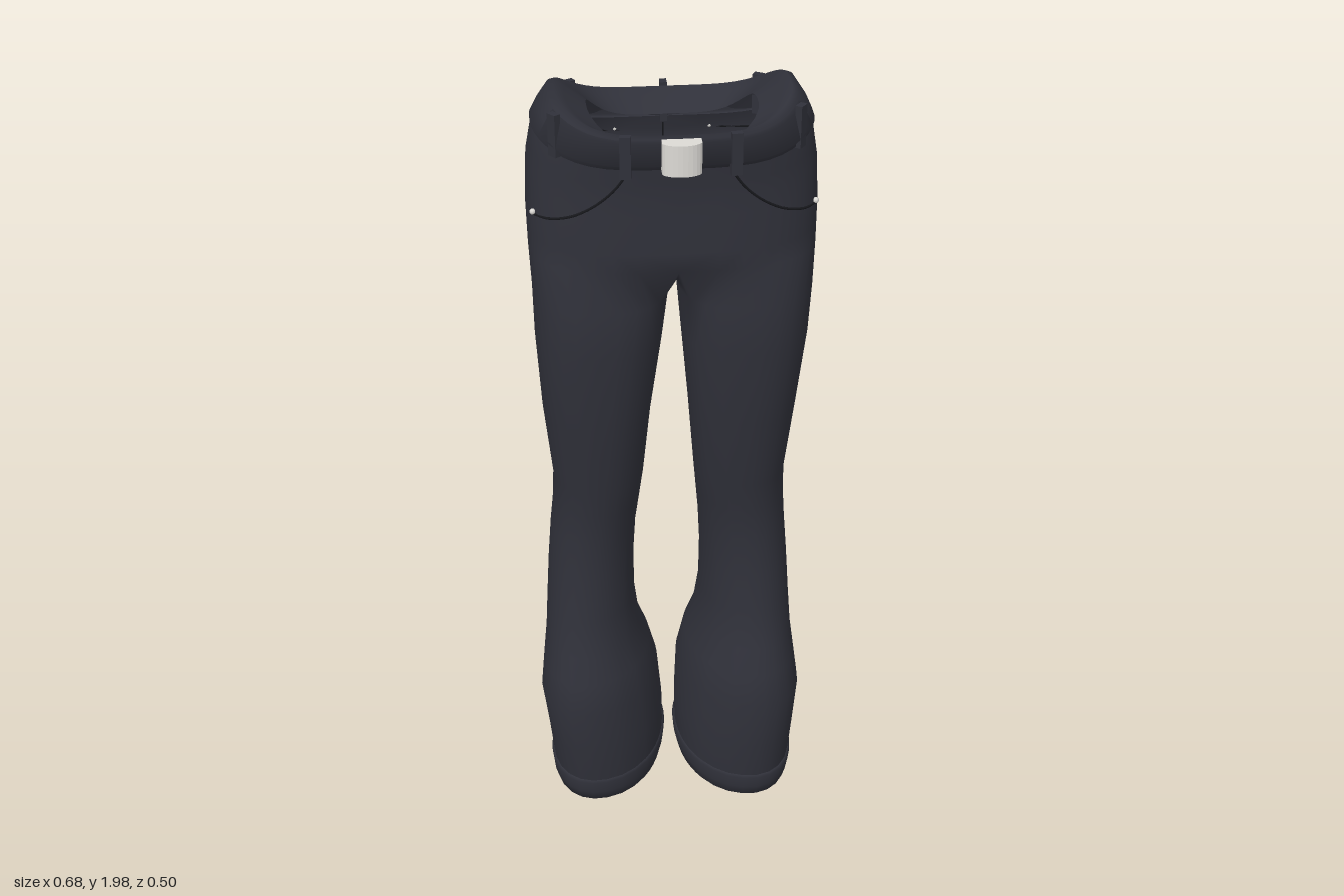
import * as THREE from 'three';
import { mergeGeometries, mergeVertices } from 'three/addons/utils/BufferGeometryUtils.js';

const OUTER = 20, INNER = 10; // points round the outside and the inseam of each leg

// y, half width, front z, back z
const TORSO = [
  [1.92, 0.275, 0.195, -0.195], [1.85, 0.308, 0.185, -0.222], [1.78, 0.324, 0.178, -0.235],
  [1.70, 0.329, 0.18, -0.222], [1.62, 0.327, 0.18, -0.192],
];
// y, inner x, outer x, front z, back z, toe-out
const LEG = [
  [1.52, 0.010, 0.322, 0.180, -0.163, 0], [1.40, 0.020, 0.315, 0.173, -0.137, 0],
  [1.20, 0.038, 0.295, 0.155, -0.125, 0], [1.00, 0.055, 0.276, 0.115, -0.116, 0.05],
  [0.92, 0.063, 0.279, 0.107, -0.143, 0.08], [0.83, 0.072, 0.287, 0.092, -0.170, 0.1],
  [0.72, 0.078, 0.296, 0.100, -0.184, 0.12], [0.60, 0.077, 0.304, 0.106, -0.187, 0.15],
  [0.50, 0.065, 0.311, 0.127, -0.205, 0.2], [0.43, 0.040, 0.320, 0.150, -0.220, 0.22],
  [0.34, 0.021, 0.332, 0.166, -0.230, 0.25], [0.20, 0.015, 0.322, 0.157, -0.210, 0.25],
  [0.09, 0.016, 0.314, 0.146, -0.197, 0.25], [0.03, 0.026, 0.304, 0.136, -0.197, 0.25],
];

const { clamp, lerp, smoothstep } = THREE.MathUtils;
const power = (v, e) => Math.sign(v) * Math.abs(v) ** e;

function sample(table, y) {
  let i = 0;
  while (i < table.length - 2 && y < table[i + 1][0]) i++;
  const a = table[i], b = table[i + 1], f = clamp((y - a[0]) / (b[0] - a[0]), 0, 1);
  return a.map((v, k) => lerp(v, b[k], f));
}

// Squarish oval whose edge rises at the hips and falls at the back
function hipPoint(t, y, hx, zf, zb, lobes = 1) {
  const s = Math.max(0, Math.sin(Math.abs(t))), c = Math.cos(t);
  const x = Math.sign(t || 1) * hx * s ** 0.7;
  let z = (zf + zb) / 2 + (zf - zb) / 2 * power(c, 0.7);
  if (c < 0) z -= lobes * (0.016 * Math.exp(-(((Math.abs(x) - 0.13) / 0.07) ** 2)) - 0.006 * Math.exp(-((x / 0.03) ** 2)));
  const w = clamp((y - 1.62) / 0.23, 0, 1);
  return new THREE.Vector3(x, y + w * (0.065 * s ** 3 + 0.025 * c), z);
}

function torsoPoint(t, y, out = 0) {
  const [, hx, zf, zb] = sample(TORSO, y);
  return hipPoint(t, y, hx + out, zf + out, zb - out, smoothstep(y, 1.55, 1.65) * (1 - smoothstep(y, 1.82, 1.92)));
}

// Point on the hip surface found from its x
function onHip(x, y, back, out) {
  const hx = sample(TORSO, y)[1];
  let t = Math.asin(clamp(Math.abs(x) / hx, 0, 1) ** (1 / 0.7));
  if (back) t = Math.PI - t;
  return torsoPoint(x < 0 ? -t : t, y, out);
}

function legRing(y, out = 0) {
  const [, xi, xo, zf, zb, toe] = sample(LEG, y);
  const e = lerp(0.95, 0.8, smoothstep(y, 0.9, 1.5)), a = 0.9, ring = [];
  for (let i = 0; i < OUTER + INNER; i++) {
    const t = i <= OUTER ? lerp(-a, Math.PI + a, i / OUTER)
      : lerp(Math.PI + a, 2 * Math.PI - a, (i - OUTER) / INNER);
    const z = (zf + zb) / 2 + ((zf - zb) / 2 + out) * power(Math.cos(t), e);
    const x = (xi + xo) / 2 + ((xo - xi) / 2 + out) * power(Math.sin(t + toe), e);
    const hem = 1 - smoothstep(y, 0.08, 0.3);
    ring.push(new THREE.Vector3(x, y + hem * (0.012 - 0.17 * z), z));
  }
  return ring;
}

// Skin between rings listed from top to bottom
function loft(rings, closed, flip = false) {
  const n = rings[0].length, index = [];
  for (let r = 0; r < rings.length - 1; r++) {
    for (let i = 0; i < (closed ? n : n - 1); i++) {
      const a = r * n + i, b = r * n + (i + 1) % n, c = a + n, d = b + n;
      index.push(...(flip ? [a, b, c, b, d, c] : [a, c, b, b, c, d]));
    }
  }
  const g = new THREE.BufferGeometry().setFromPoints(rings.flat());
  g.setIndex(index);
  g.computeVertexNormals();
  return g;
}

// The other side: mirrored, standing a touch wider and shorter
function mirrorRings(rings) {
  return rings.map(ring => ring.map(p => {
    const below = 1 - smoothstep(p.y, 1.2, 1.55), foot = 1 - smoothstep(p.y, 0.1, 0.5);
    return new THREE.Vector3(-p.x - below * lerp(0.015, 0.004, foot), p.y + 0.017 * foot, p.z);
  }));
}

function hipRing(y, hx, zf, zb) {
  return Array.from({ length: 48 }, (_, i) => hipPoint(i < 24 ? i / 24 * Math.PI : (i - 48) / 24 * Math.PI, y, hx, zf, zb, 0));
}

export function createModel() {
  const model = new THREE.Group();
  const mat = (name, color, side = THREE.FrontSide) => {
    const m = new THREE.MeshStandardMaterial({ color, side });
    m.name = name;
    return m;
  };
  const denim = mat('charcoal denim', 0x30313a, THREE.DoubleSide);
  const leather = mat('dark belt', 0x2a2b33, THREE.DoubleSide);
  const thread = mat('black seam', 0x18191d);
  const metal = mat('pale metal', 0xdcdad5);
  const add = (name, geometry, material) => {
    const m = new THREE.Mesh(geometry, material);
    m.name = name;
    model.add(m);
    return m;
  };

  // Trouser body: hips open at the top, joined to two open legs
  const hipRings = [1.9, 1.85, 1.81, 1.78, 1.74, 1.7, 1.66, 1.62].map(y =>
    Array.from({ length: OUTER + 1 }, (_, i) => torsoPoint(i / OUTER * Math.PI, y)));
  const crotch = hipRings.at(-1).map(p => p.clone());
  const front = crotch[0], back = crotch[OUTER];
  for (let j = 1; j < INNER; j++) {
    const p = back.clone().lerp(front, j / INNER);
    p.x = 0;
    p.y -= 0.065 * Math.sin(j / INNER * Math.PI) ** 0.6;
    crotch.push(p);
  }
  const legRings = [crotch, ...LEG.map(row => legRing(row[0]))];
  const body = mergeVertices(mergeGeometries([
    loft(hipRings, false), loft(legRings, true),
    loft(mirrorRings(hipRings), false, true), loft(mirrorRings(legRings), true, true),
  ].map(g => g.deleteAttribute('normal'))), 1e-4);
  body.computeVertexNormals();
  add('trousers', body, denim);

  // Turned hems
  const hem = [legRing(0.1), legRing(0.095, 0.006), legRing(0.06, 0.008), legRing(0.03, 0.006), legRing(0.03, -0.006), legRing(0.06, -0.01)];
  add('leftHem', loft(hem, true), denim);
  add('rightHem', loft(mirrorRings(hem), true, true), denim);

  // Waistband with its inner facing
  add('waistband', loft([
    hipRing(1.885, 0.188, 0.152, -0.14), hipRing(1.915, 0.235, 0.19, -0.18), hipRing(1.93, 0.258, 0.205, -0.196),
    hipRing(1.925, 0.272, 0.213, -0.206), hipRing(1.89, 0.295, 0.214, -0.215),
    hipRing(1.852, 0.312, 0.204, -0.23), hipRing(1.848, 0.303, 0.18, -0.218),
  ], true), denim);

  // Belt across the front
  const beltRing = (y, hx, zf) => Array.from({ length: 25 }, (_, i) => hipPoint(lerp(-1.2, 1.2, i / 24), y, hx, zf, -0.215, 0));
  add('belt', loft([beltRing(1.922, 0.272, 0.21), beltRing(1.918, 0.282, 0.222), beltRing(1.865, 0.31, 0.218), beltRing(1.858, 0.306, 0.2)], false), leather);

  // Belt loops
  const loopAngles = [0.27, 1.0, 2.45];
  for (const t of [...loopAngles, ...loopAngles.map(a => -a), Math.PI]) {
    const p = hipPoint(t, 1.887, 0.297, 0.218, -0.217, 0), q = hipPoint(t + 0.02, 1.887, 0.297, 0.218, -0.217, 0);
    const loop = add('beltLoop', new THREE.BoxGeometry(0.024, 0.095, 0.016), denim);
    loop.position.copy(p);
    loop.rotation.y = Math.atan2(p.z - q.z, q.x - p.x);
  }

  // Buckle with a bowed face
  const bow = new THREE.Shape();
  bow.moveTo(-0.042, 0.03);
  bow.lineTo(-0.042, 0);
  bow.bezierCurveTo(-0.03, -0.024, 0.03, -0.024, 0.042, 0);
  bow.lineTo(0.042, 0.03);
  const buckle = add('buckle', new THREE.ExtrudeGeometry(bow, { depth: 0.07, bevelEnabled: false, curveSegments: 10 }), metal);
  buckle.rotation.x = -Math.PI / 2;
  buckle.position.set(0, 1.88, 0.235);

  // Pocket edges, seams and rivets
  const seam = (name, points, r = 0.003) =>
    add(name, new THREE.TubeGeometry(new THREE.CatmullRomCurve3(points), 24, r, 5), thread);
  const rivet = p => add('rivet', new THREE.SphereGeometry(0.007, 8, 6), metal).position.copy(p);
  for (const s of [1, -1]) {
    seam('frontPocketEdge', [[0.11, 1.84], [0.14, 1.8], [0.18, 1.765], [0.23, 1.735], [0.28, 1.715], [0.313, 1.705]]
      .map(([x, y]) => onHip(s * x, y, false, 0.001)));
    rivet(onHip(s * 0.118, 1.84, false, 0.003));
    rivet(onHip(s * 0.312, 1.71, false, 0.003));
    seam('backPocketEdge', [0.1, 0.13, 0.16, 0.19, 0.22].map(x => onHip(s * x, 1.8, true, 0.001)));
    rivet(onHip(s * 0.11, 1.805, true, 0.003));
    rivet(onHip(s * 0.215, 1.805, true, 0.003));
  }
  seam('seatSeam', [1.83, 1.78, 1.73, 1.68, 1.64].map(y => torsoPoint(Math.PI, y, -0.001)), 0.002);

  return model;
}
